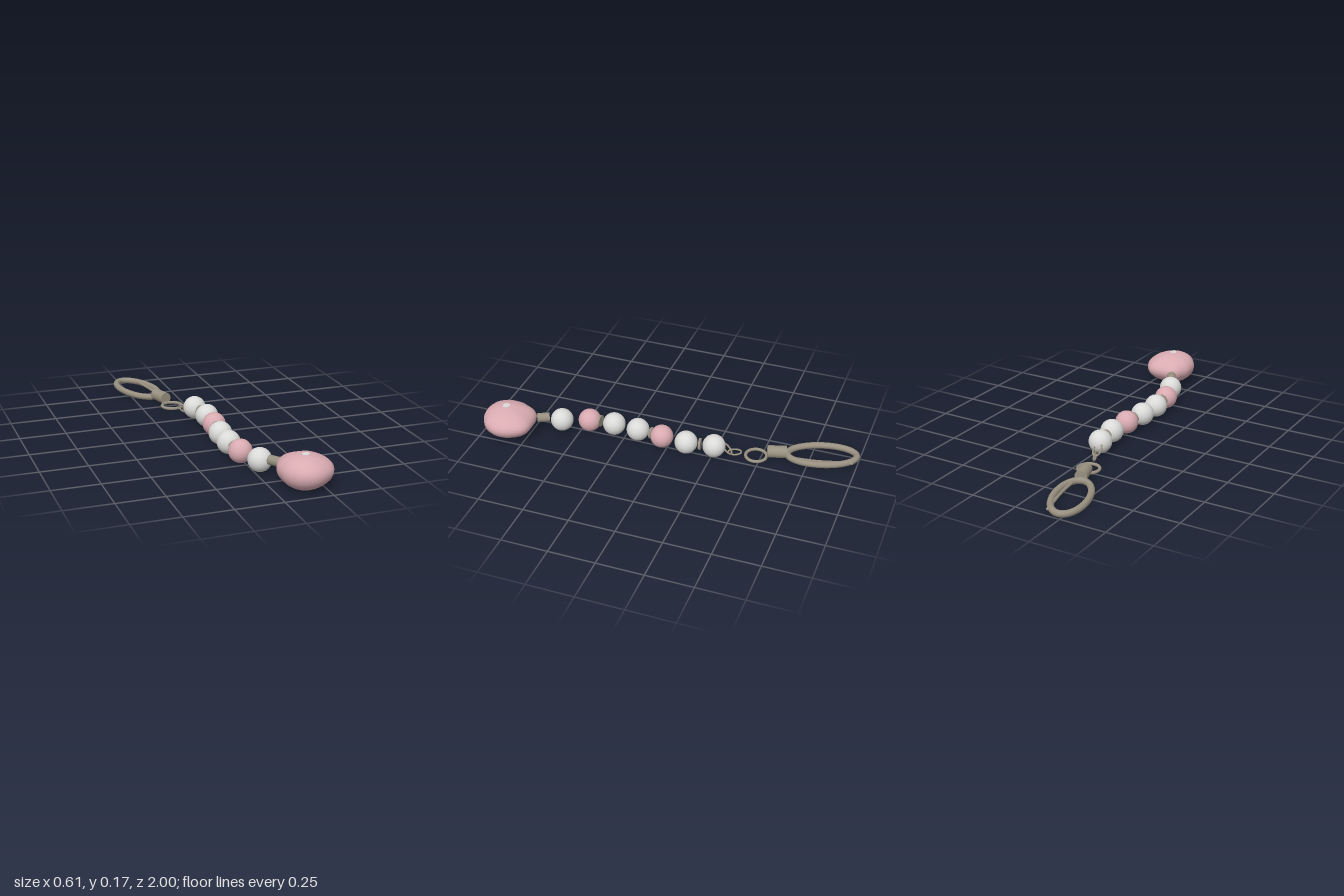
import * as THREE from 'three';
import { mergeVertices } from 'three/addons/utils/BufferGeometryUtils.js';

const mat = (name, color) => {
  const m = new THREE.MeshStandardMaterial({ color });
  m.name = name;
  return m;
};
const V = (x, y, z) => new THREE.Vector3(x, y, z);

export function createModel() {
  const group = new THREE.Group();
  const pink = mat('rose stone', 0xd9abb1);
  const white = mat('white bead', 0xdadad8);
  const metal = mat('aged metal', 0x989080);

  const add = (name, geo, material) => {
    const mesh = new THREE.Mesh(geo, material);
    mesh.name = name;
    group.add(mesh);
    return mesh;
  };

  // Cylinder running between two points
  const rod = (name, a, b, r) => {
    const dir = b.clone().sub(a);
    const m = add(name, new THREE.CylinderGeometry(r, r, dir.length(), 28), metal);
    m.position.copy(a).add(b).multiplyScalar(0.5);
    m.quaternion.setFromUnitVectors(V(0, 1, 0), dir.normalize());
  };

  // Oval wire loop: centre, two half axes, wire radius
  const loop = (name, c, u, v, r) => {
    const pts = [];
    for (let i = 0; i < 32; i++) {
      const t = (i / 32) * Math.PI * 2;
      pts.push(c.clone().addScaledVector(u, Math.cos(t)).addScaledVector(v, Math.sin(t)));
    }
    const path = new THREE.CatmullRomCurve3(pts, true);
    add(name, new THREE.TubeGeometry(path, 72, r, 12, true), metal);
  };

  // Beads: x, z, colour
  const beads = [
    [-0.02, -0.258, white], [0, -0.108, white], [-0.008, 0.033, pink], [-0.024, 0.176, white],
    [-0.03, 0.317, white], [-0.018, 0.456, pink], [0.03, 0.6, white],
  ];
  for (const [x, z, m] of beads) {
    add('bead', new THREE.SphereGeometry(0.062, 32, 24), m).position.set(x, 0.066, z);
  }

  // Flat spacers between the beads
  for (const [x, z, tilt] of [[-0.006, -0.184, 0.14], [-0.014, 0.094, -0.1], [-0.026, 0.396, -0.08]]) {
    const d = V(Math.sin(tilt), 0, Math.cos(tilt)).multiplyScalar(0.006);
    const c = V(x, 0.068, z);
    rod('spacer', c.clone().sub(d), c.clone().add(d), 0.032);
  }

  // Irregular pebble: a sphere pushed out to a plan outline
  const outline = [0.143, 0.138, 0.132, 0.132, 0.132, 0.127, 0.127, 0.138, 0.156, 0.148, 0.158, 0.148];
  const radiusAt = (angle) => {
    const f = ((angle / (Math.PI * 2) + 1) % 1) * 12;
    const i = Math.floor(f), s = (1 - Math.cos((f - i) * Math.PI)) / 2;
    return outline[i % 12] * (1 - s) + outline[(i + 1) % 12] * s;
  };
  let geo = new THREE.SphereGeometry(1, 48, 32);
  geo.deleteAttribute('uv');
  geo.deleteAttribute('normal');
  geo = mergeVertices(geo, 1e-4);
  const p = geo.attributes.position;
  for (let i = 0; i < p.count; i++) {
    const x = p.getX(i), y = p.getY(i), z = p.getZ(i);
    const a = Math.atan2(z, x);
    // rim is sharper toward the right end and the back
    const k = 1.12 + 0.16 * Math.cos(a) - 0.14 * Math.sin(a);
    const r = radiusAt(a) * Math.pow(Math.hypot(x, z), k);
    p.setXYZ(i, Math.cos(a) * r, y * (y > 0 ? 0.083 : 0.091), Math.sin(a) * r);
  }
  geo.computeVertexNormals();
  add('pebble', geo, pink).position.set(0.158, 0.095, 0.863);

  // Pale spot on top of the pebble
  add('pebbleSpot', new THREE.CylinderGeometry(0.022, 0.022, 0.004, 6), white).position.set(0.158, 0.1765, 0.867);

  // Neck joining pebble and beads
  rod('pebbleNeck', V(0.058, 0.085, 0.663), V(0.09, 0.088, 0.72), 0.025);

  // Small chain links and the flat jump ring
  loop('tiltedLink', V(-0.042, 0.049, -0.325), V(0.022, 0, 0), V(0, -0.027, -0.025), 0.005);
  loop('uprightLink', V(-0.052, 0.029, -0.365), V(-0.012, 0, -0.033), V(0, 0.018, 0), 0.005);
  loop('jumpRing', V(-0.083, 0.013, -0.475), V(0.056, 0, 0), V(0, 0, 0.056), 0.0085);

  // Swivel barrel
  rod('swivelBarrel', V(-0.132, 0.04, -0.628), V(-0.103, 0.04, -0.53), 0.033);

  // Large oval clasp with its thin gate
  const s = 0.289, c = 0.957;
  loop('claspRing', V(-0.191, 0.024, -0.808), V(s * 0.184, 0, c * 0.184), V(c * 0.088, 0, -s * 0.088), 0.0175);
  const gate = new THREE.CatmullRomCurve3([
    V(-0.168, 0.026, -0.975), V(-0.153, 0.026, -0.91), V(-0.125, 0.024, -0.79), V(-0.112, 0.024, -0.68),
  ]);
  add('claspGate', new THREE.TubeGeometry(gate, 24, 0.008, 10), metal);
  add('gateTip', new THREE.SphereGeometry(0.008, 12, 8), metal).position.set(-0.168, 0.026, -0.975);

  return group;
}
